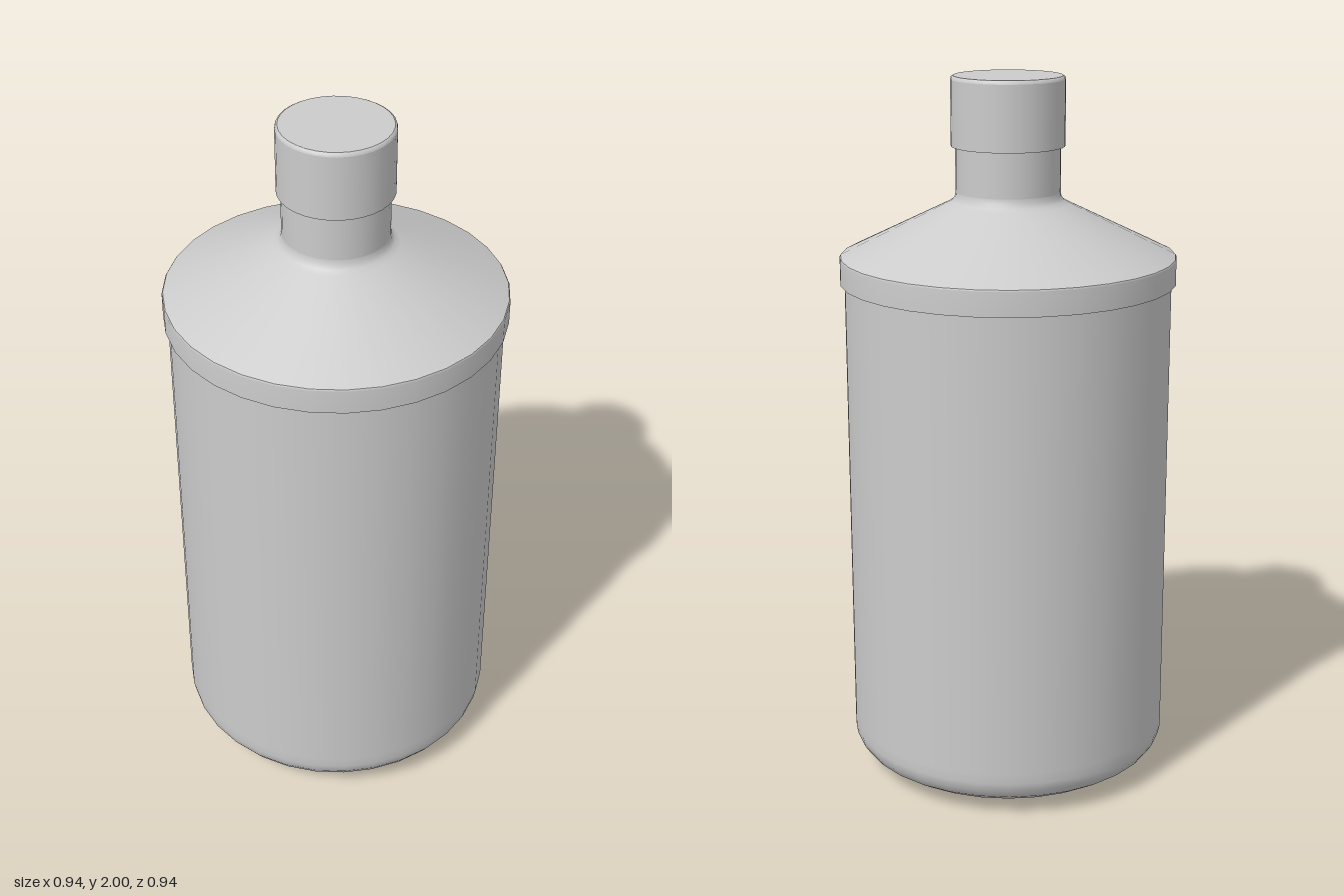
import * as THREE from 'three';

const SIDES = 32;

export function createModel() {
  const bottle = new THREE.Group();
  bottle.name = 'bottle';
  const material = new THREE.MeshStandardMaterial({ color: 0xcccccc });

  // Each part is a group of turned bands; normals are smooth within a band
  // and sharp where two bands meet. Profiles run [radius, height] upwards.
  function turnedPart(name, ...bands) {
    const part = new THREE.Group();
    part.name = name;
    bands.forEach((band, i) => {
      const points = band.map(([r, y]) => new THREE.Vector2(r, y));
      const mesh = new THREE.Mesh(new THREE.LatheGeometry(points, SIDES), material);
      mesh.name = `${name}Band${i + 1}`;
      part.add(mesh);
    });
    bottle.add(part);
  }

  // Flat base rounding softly into the wall
  turnedPart('body',
    [[0, 0], [0.31, 0], [0.395, 0.034], [0.435, 0.06], [0.452, 0.085], [0.457, 0.11], [0.457, 0.14]],
    [[0.457, 0.14], [0.457, 1.44]]);

  // Rim overhanging the wall
  turnedPart('collar',
    [[0.45, 1.437], [0.469, 1.437]],
    [[0.469, 1.437], [0.469, 1.503], [0.466, 1.508]]);

  // Conical shoulder with a small fillet into the neck
  turnedPart('shoulder',
    [[0.466, 1.508], [0.17, 1.652], [0.155, 1.661], [0.147, 1.672], [0.145, 1.685]]);

  turnedPart('neck', [[0.145, 1.685], [0.145, 1.81]]);

  // Cap with a slightly eased top edge
  turnedPart('cap',
    [[0.14, 1.81], [0.157, 1.81]],
    [[0.157, 1.81], [0.157, 1.99]],
    [[0.157, 1.99], [0.155, 1.997], [0.15, 2]],
    [[0.15, 2], [0, 2]]);

  return bottle;
}
